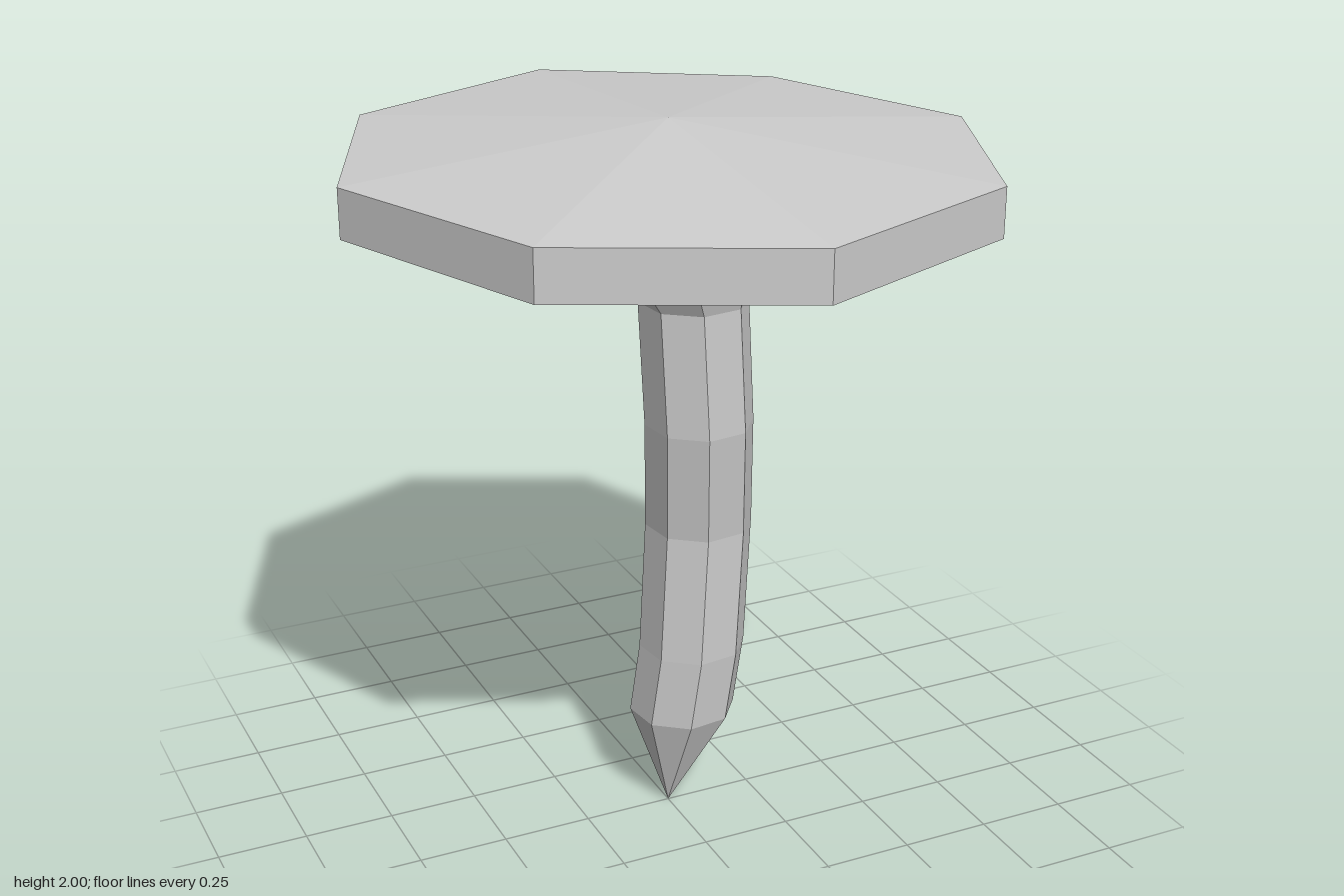
import * as THREE from 'three';

const SIDES = 8;

// Skin a stack of octagonal rings, listed bottom to top.
// Each ring is { x, z, r, y } with y a number or one height per corner; r = 0 makes a point.
function loft(name, rings, turn) {
  const corner = ({ x = 0, z = 0, r, y }, i) => {
    const k = i % SIDES;
    const a = turn + (k / SIDES) * Math.PI * 2;
    return [x + r * Math.cos(a), Array.isArray(y) ? y[k] : y, z + r * Math.sin(a)];
  };
  const positions = [];
  for (let j = 0; j < rings.length - 1; j++) {
    const low = rings[j], high = rings[j + 1];
    for (let i = 0; i < SIDES; i++) {
      const a = corner(low, i), b = corner(low, i + 1);
      const c = corner(high, i + 1), d = corner(high, i);
      if (high.r > 0) positions.push(...a, ...d, ...c);
      if (low.r > 0) positions.push(...a, ...c, ...b);
    }
  }
  const geometry = new THREE.BufferGeometry();
  geometry.setAttribute('position', new THREE.Float32BufferAttribute(positions, 3));
  geometry.computeVertexNormals();
  const material = new THREE.MeshStandardMaterial({ color: 0xcccccc, flatShading: true });
  const mesh = new THREE.Mesh(geometry, material);
  mesh.name = name;
  return mesh;
}

export function createModel() {
  const group = new THREE.Group();
  group.name = 'nail';

  // Wide head: shallow cones above and below a slightly uneven rim
  group.add(loft('head', [
    { r: 0, y: 1.747 },
    { r: 0.87, y: [1.795, 1.775, 1.775, 1.787, 1.795, 1.8, 1.797, 1.79] },
    { r: 0.87, y: [1.907, 1.907, 1.908, 1.92, 1.925, 1.93, 1.935, 1.908] },
    { r: 0, y: 2 },
  ], 0));

  // Bent shaft: pointed tip, wandering body, flared collar under the head
  group.add(loft('shaft', [
    { r: 0, y: 0 },
    { x: 0.052, z: -0.02, r: 0.148, y: 0.29 },
    { x: 0.075, z: -0.005, r: 0.148, y: 0.495 },
    { x: 0.097, z: -0.012, r: 0.148, y: 0.86 },
    { x: 0.08, z: 0.025, r: 0.148, y: 1.17 },
    { x: 0.065, z: 0.018, r: 0.148, y: 1.515 },
    { r: 0.247, y: 1.745 },
    { r: 0, y: 1.746 },
  ], Math.PI / 12));

  return group;
}
